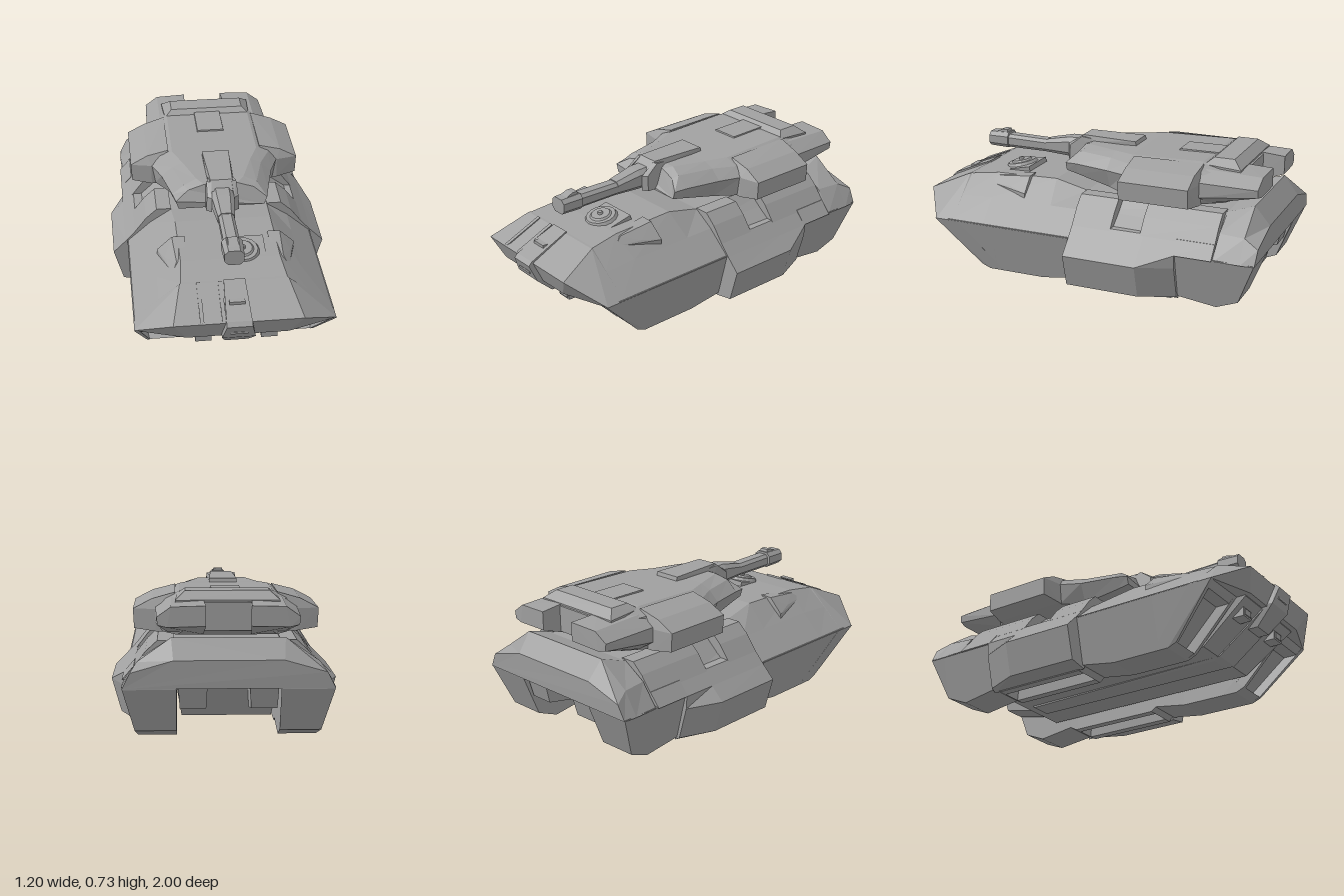
import * as THREE from 'three';
import { ConvexGeometry } from 'three/addons/geometries/ConvexGeometry.js';

const grey = new THREE.MeshStandardMaterial({ color: 0xa0a0a0, flatShading: true });

// Skin through rings of [x, y, z], front to back, each counterclockwise seen from +z
function loft(rings) {
  const n = rings[0].length, pos = [];
  const tri = (...p) => p.forEach(q => pos.push(...q));
  for (let r = 0; r < rings.length - 1; r++) {
    const a = rings[r], b = rings[r + 1];
    for (let i = 0; i < n; i++) {
      const j = (i + 1) % n;
      tri(a[i], b[i], b[j]);
      tri(a[i], b[j], a[j]);
    }
  }
  const f = rings[0], l = rings[rings.length - 1];
  for (let i = 1; i < n - 1; i++) {
    tri(f[0], f[i], f[i + 1]);
    tri(l[0], l[i + 1], l[i]);
  }
  const g = new THREE.BufferGeometry();
  g.setAttribute('position', new THREE.Float32BufferAttribute(pos, 3));
  g.computeVertexNormals();
  return g;
}

const flip = p => [-p[0], p[1], p[2]];
const flipRing = ring => ring.map(flip).reverse();
const bothSides = half => [...half, ...flipRing(half)];
const convex = pts => new ConvexGeometry(pts.map(p => new THREE.Vector3(...p)));

export function createModel() {
  const tank = new THREE.Group();
  const add = (name, geo) => {
    const m = new THREE.Mesh(geo, grey);
    m.name = name;
    tank.add(m);
    return m;
  };
  const box = (name, x0, x1, y0, y1, z0, z1) =>
    add(name, new THREE.BoxGeometry(x1 - x0, y1 - y0, z1 - z0))
      .position.set((x0 + x1) / 2, (y0 + y1) / 2, (z0 + z1) / 2);
  const pairLoft = (name, rings) => {
    add(name + 'Left', loft(rings));
    add(name + 'Right', loft(rings.map(flipRing)));
  };
  const pairConvex = (name, pts) => {
    add(name + 'Left', convex(pts));
    add(name + 'Right', convex(pts.map(flip)));
  };
  const midConvex = (name, half) => add(name, convex([...half, ...half.map(flip)]));

  // Nose: front plate, cheeks and underside
  midConvex('hullNose', [[0.33, 0.39, 0.975], [0.26, 0.28, 0.93], [0.52, 0.28, 0.845],
    [0.28, 0.485, 0.755], [0.52, 0.28, 0.74], [0.27, 0.485, 0.74]]);
  // Upper hull: lower edge, shoulder, roof edge
  add('upperHull', loft([
    [[0.52, 0.28, 0.76], [0.39, 0.39, 0.755], [0.275, 0.484, 0.75]],
    [[0.52, 0.28, 0.55], [0.385, 0.4, 0.56], [0.26, 0.505, 0.58]],
    [[0.52, 0.28, 0.2], [0.385, 0.4, 0.2], [0.26, 0.515, 0.22]],
    [[0.52, 0.28, 0.03], [0.385, 0.4, 0.03], [0.27, 0.475, 0.03]],
    [[0.51, 0.28, 0.02], [0.35, 0.4, 0.02], [0.27, 0.475, 0.02]],
    [[0.51, 0.28, -0.77], [0.38, 0.4, -0.77], [0.29, 0.475, -0.77]],
    [[0.52, 0.28, -0.78], [0.43, 0.4, -0.78], [0.3, 0.475, -0.78]],
    [[0.525, 0.28, -0.92], [0.45, 0.4, -0.92], [0.28, 0.52, -0.92]],
    [[0.52, 0.28, -0.995], [0.48, 0.36, -1], [0.27, 0.42, -1]],
  ].map(bothSides)));

  // Track pods with a long slot in the underside
  const podRing = ([z, y, d]) => {
    const out = 0.45 + 0.25 * y;
    return [[0.255, y, z], [0.3, y, z], [0.305, y + d, z], [0.4, y + d, z], [0.405, y, z],
      [out, y, z], [0.52, 0.285, z], [0.26, 0.285, z]];
  };
  pairLoft('trackPod', [
    [0.77, 0.275, 0], [0.51, 0.015, 0], [0.5, 0, 0], [0.22, 0, 0],
    [0.03, 0.03, 0], [0, 0.008, 0], [-0.01, 0.008, 0.08], [-0.52, 0.008, 0.08], [-0.53, 0.008, 0],
    [-0.57, 0.03, 0], [-0.78, 0, 0], [-0.9, 0.05, 0], [-0.99, 0.275, 0],
  ].map(podRing));
  // Frame around the recessed pod front
  const rim = (x0, x1, x2, x3) => [[x0, 0.28, 0.85], [x1, 0.28, 0.85], [x0, 0.28, 0.72], [x1, 0.28, 0.72],
    [x2, 0.02, 0.6], [x3, 0.02, 0.6], [x2, 0, 0.55], [x3, 0, 0.55], [x2, 0, 0.46], [x3, 0, 0.46]];
  pairConvex('podRimInner', rim(0.26, 0.28, 0.255, 0.275));
  pairConvex('podRimOuter', rim(0.495, 0.52, 0.435, 0.45));
  pairConvex('podRimTop', [[0.26, 0.28, 0.85], [0.52, 0.28, 0.845], [0.26, 0.245, 0.815], [0.51, 0.245, 0.815],
    [0.26, 0.28, 0.72], [0.52, 0.28, 0.72], [0.26, 0.245, 0.72], [0.51, 0.245, 0.72]]);
  pairConvex('podRimBottom', [[0.255, 0.022, 0.6], [0.45, 0.022, 0.6], [0.255, 0, 0.55], [0.45, 0, 0.55],
    [0.255, 0.07, 0.54], [0.46, 0.07, 0.54], [0.255, 0, 0.46], [0.45, 0, 0.46]]);

  // Side armour: lower skirt, then two upper blocks leaving a notch
  const skirt = (z, w) => [[0.445, 0.012, z], [w - 0.05, 0.03, z], [w, 0.21, z],
    [0.53, 0.28, z], [0.465, 0.35, z], [0.36, 0.35, z]];
  pairLoft('sideSkirt', [skirt(0.03, 0.6), skirt(-0.38, 0.602), skirt(-0.57, 0.525)]);
  const upper = z => [[0.27, 0.34, z], [0.475, 0.34, z], [0.41, 0.425, z], [0.35, 0.48, z], [0.27, 0.48, z]];
  pairLoft('upperArmourFront', [upper(0.03), upper(-0.19)]);
  pairLoft('upperArmourRear', [upper(-0.36), upper(-0.77)]);
  pairLoft('rearFlank', [-0.56, -0.77].map(z =>
    [[0.3, 0.27, z], [0.53, 0.28, z], [0.47, 0.35, z], [0.3, 0.36, z]]));

  // Belly between the pods, and keel
  add('belly', loft([[0.9, 0.275], [0.63, 0.07], [-0.66, 0.07], [-0.78, 0.275]].map(([z, y]) =>
    bothSides([[0.23 + 0.03 * (y - 0.07) / 0.21, y, z], [0.26, 0.285, z]]))));
  midConvex('keel', [[0.08, 0.28, 0.92], [0.06, 0.18, 0.79], [0.08, 0.07, 0.64], [0.06, 0.06, 0.6],
    [0.06, 0.06, -0.6], [0.08, 0.28, -0.78]]);
  midConvex('noseWedge', [[0.065, 0.4, 0.98], [0.065, 0.38, 1], [0.085, 0.29, 0.965], [0.06, 0.19, 0.86],
    [0.06, 0.19, 0.79], [0.085, 0.3, 0.8]]);
  box('noseSlot', -0.045, 0.045, 0.325, 0.337, 0.95, 0.985);
  for (const s of [-1, 1]) {
    box('headlampHousing', s * 0.17 - 0.042, s * 0.17 + 0.042, 0.195, 0.248, 0.75, 0.86);
    box('headlampLens', s * 0.17 - 0.03, s * 0.17 + 0.03, 0.205, 0.238, 0.85, 0.865);
  }
  // Rear blocks either side of the exhaust gap
  pairConvex('rearBlock', [[0.1, 0.36, -0.99], [0.25, 0.36, -0.99], [0.11, 0.17, -0.94], [0.24, 0.17, -0.94],
    [0.1, 0.36, -0.7], [0.25, 0.36, -0.7], [0.11, 0.13, -0.74], [0.24, 0.13, -0.74]]);

  // Front plate fittings
  midConvex('frontStrip', [[0.055, 0.495, 0.75], [0.065, 0.4, 0.98], [0.065, 0.38, 0.97],
    [0.055, 0.45, 0.74]]);
  box('visorSlit', -0.04, 0.04, 0.437, 0.453, 0.86, 0.89);
  for (const [x0, x1] of [[-0.195, -0.175], [-0.085, -0.065]]) {
    add('hatchRail', convex([x0, x1].flatMap(x => [[x, 0.491, 0.755], [x, 0.398, 0.972], [x, 0.44, 0.755]])));
  }
  pairConvex('deckShoulder', [[0.22, 0.52, 0.37], [0.29, 0.518, 0.37], [0.37, 0.44, 0.365], [0.37, 0.39, 0.37],
    [0.335, 0.46, 0.47], [0.23, 0.495, 0.57], [0.28, 0.495, 0.57], [0.305, 0.46, 0.62], [0.25, 0.4, 0.5]]);

  // Commander's hatch, tilted forward
  const hatch = new THREE.Group();
  hatch.name = 'hatch';
  const disc = (name, r0, r1, h, y) => {
    const m = new THREE.Mesh(new THREE.CylinderGeometry(r0, r1, h, 16), grey);
    m.name = name;
    m.position.y = y;
    hatch.add(m);
  };
  const base = new THREE.Mesh(new THREE.BoxGeometry(0.21, 0.03, 0.21), grey);
  base.name = 'hatchBase';
  base.position.set(0.015, -0.015, 0);
  hatch.add(base);
  disc('hatchRing', 0.08, 0.09, 0.016, 0.008);
  disc('hatchLid', 0.05, 0.06, 0.01, 0.02);
  disc('hatchKnob', 0.012, 0.016, 0.014, 0.03);
  hatch.position.set(0.07, 0.513, 0.53);
  hatch.rotation.x = 0.22;
  tank.add(hatch);

  // Turret body: underside edge, flank, chamfer, roof edge
  add('turretBody', loft([
    [[0.235, 0.565, 0.17], [0.25, 0.61, 0.17], [0.18, 0.655, 0.13], [0.09, 0.68, 0.12]],
    [[0.24, 0.55, 0.1], [0.265, 0.615, 0.1], [0.2, 0.67, 0.1], [0.13, 0.695, 0.08]],
    [[0.265, 0.51, -0.1], [0.31, 0.615, -0.1], [0.25, 0.67, -0.1], [0.19, 0.695, -0.1]],
    [[0.34, 0.505, -0.22], [0.36, 0.62, -0.22], [0.31, 0.67, -0.22], [0.24, 0.7, -0.22]],
    [[0.34, 0.505, -0.62], [0.36, 0.62, -0.62], [0.31, 0.675, -0.62], [0.24, 0.71, -0.62]],
    [[0.25, 0.505, -0.75], [0.31, 0.6, -0.75], [0.28, 0.67, -0.75], [0.23, 0.69, -0.75]],
    [[0.22, 0.54, -0.84], [0.26, 0.6, -0.84], [0.25, 0.65, -0.84], [0.22, 0.68, -0.84]],
  ].map(bothSides)));
  // Side pods of the turret
  pairConvex('turretSidePod', [
    [0.26, 0.7, -0.24], [0.26, 0.705, -0.63], [0.38, 0.67, -0.24], [0.38, 0.67, -0.62],
    [0.475, 0.62, -0.235], [0.475, 0.62, -0.62], [0.47, 0.52, -0.235], [0.47, 0.52, -0.62],
    [0.36, 0.505, -0.21], [0.36, 0.505, -0.64], [0.36, 0.62, -0.21], [0.36, 0.62, -0.64],
    [0.25, 0.505, -0.22], [0.25, 0.505, -0.65]]);
  // Rear bustle
  midConvex('rearRoofBlock', [[0.21, 0.732, -0.67], [0.21, 0.732, -0.78], [0.25, 0.7, -0.63],
    [0.26, 0.69, -0.83], [0.25, 0.66, -0.64], [0.26, 0.65, -0.83]]);
  pairConvex('rearLobe', [
    [0.12, 0.69, -0.8], [0.11, 0.68, -0.96], [0.28, 0.685, -0.64], [0.28, 0.675, -0.955],
    [0.36, 0.63, -0.64], [0.35, 0.625, -0.95], [0.36, 0.55, -0.64], [0.345, 0.585, -0.95],
    [0.12, 0.51, -0.77], [0.11, 0.58, -0.96], [0.3, 0.51, -0.68], [0.3, 0.575, -0.955]]);
  midConvex('roofHatch', [[0.075, 0.713, -0.43], [0.075, 0.716, -0.65], [0.085, 0.68, -0.42], [0.085, 0.68, -0.66]]);
  midConvex('roofPlate', [[0.075, 0.72, -0.17], [0.075, 0.68, -0.18], [0.06, 0.722, 0.15], [0.07, 0.68, 0.2]]);

  // Gun: cradle, mantlet, barrel, muzzle
  pairConvex('gunCradleWall', [[0.055, 0.715, 0.16], [0.08, 0.715, 0.15], [0.06, 0.575, 0.24],
    [0.09, 0.575, 0.22], [0.06, 0.66, 0.24], [0.085, 0.66, 0.22], [0.06, 0.7, 0.05], [0.09, 0.57, 0.05]]);
  const gunRing = ([z, w, y0, y1]) => {
    const c = w * 0.4;
    return bothSides([[w - c, y0, z], [w, y0 + c, z], [w, y1 - c, z], [w - c, y1, z]]);
  };
  add('mantlet', loft([[0.39, 0.045, 0.585, 0.66], [0.25, 0.06, 0.58, 0.69], [0.05, 0.06, 0.57, 0.695]].map(gunRing)));
  add('barrel', loft([[0.65, 0.042, 0.585, 0.66], [0.35, 0.042, 0.585, 0.655]].map(gunRing)));
  add('muzzle', loft([[0.755, 0.05, 0.585, 0.668], [0.635, 0.055, 0.583, 0.672]].map(gunRing)));
  midConvex('muzzleSight', [[0.025, 0.685, 0.65], [0.025, 0.685, 0.68], [0.03, 0.66, 0.64], [0.03, 0.66, 0.74]]);
  return tank;
}
